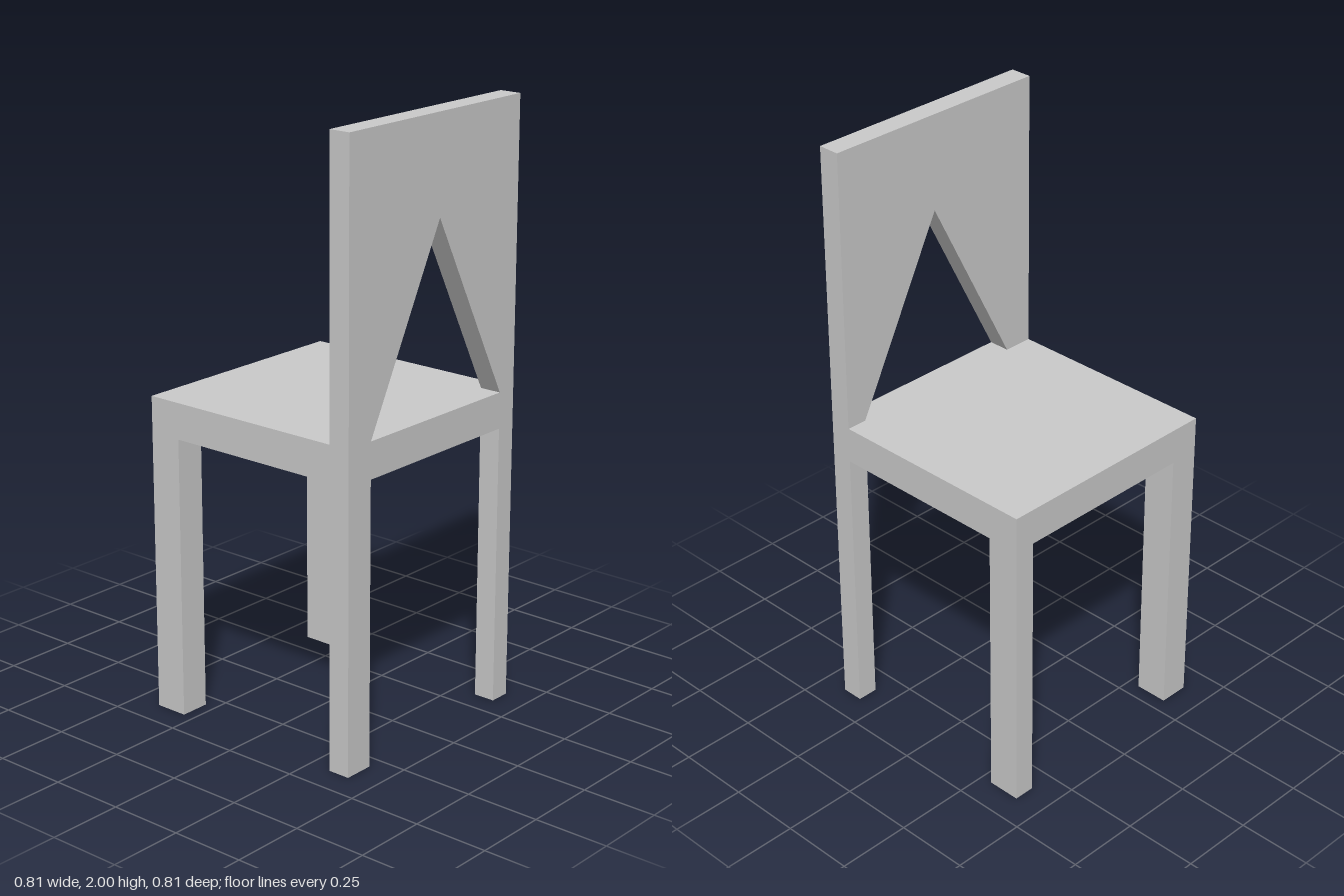
import * as THREE from 'three';

const HALF = 0.404;         // half width and half depth
const SEAT_BOTTOM = 0.94, SEAT_TOP = 1.06, TOP = 2;
const PANEL_Z = 0.33;       // inner face of the backrest panel
const INNER_LEFT = 0.333, INNER_RIGHT = -0.302;

export function createModel() {
  const group = new THREE.Group();
  const material = new THREE.MeshStandardMaterial({ color: 0xcccccc, flatShading: true });

  const add = (name, geometry) => {
    const mesh = new THREE.Mesh(geometry, material);
    mesh.name = name;
    group.add(mesh);
    return mesh;
  };

  // Box given by its limits on each axis
  const block = (name, [x0, x1], [y0, y1], [z0, z1]) =>
    add(name, new THREE.BoxGeometry(x1 - x0, y1 - y0, z1 - z0))
      .position.set((x0 + x1) / 2, (y0 + y1) / 2, (z0 + z1) / 2);

  // Seat slab
  block('seat', [-HALF, HALF], [SEAT_BOTTOM, SEAT_TOP], [-HALF, HALF]);

  // Four legs: the right pair is wider, the pair away from the backrest deeper
  const columns = { Left: [INNER_LEFT, HALF], Right: [-HALF, INNER_RIGHT] };
  const rows = { front: [PANEL_Z, HALF], back: [-HALF, -0.291] };
  for (const [side, xs] of Object.entries(columns))
    for (const [end, zs] of Object.entries(rows))
      block(`${end}${side}Leg`, xs, [0, SEAT_BOTTOM], zs);

  // Backrest panel with a triangular opening that reaches down to the seat
  const outline = new THREE.Shape([
    [-HALF, SEAT_TOP], [INNER_RIGHT, SEAT_TOP], [0.015, 1.68],
    [INNER_LEFT, SEAT_TOP], [HALF, SEAT_TOP], [HALF, TOP], [-HALF, TOP],
  ].map(([x, y]) => new THREE.Vector2(x, y)));
  add('backrest', new THREE.ExtrudeGeometry(outline, { depth: HALF - PANEL_Z, bevelEnabled: false }))
    .position.z = PANEL_Z;

  return group;
}
